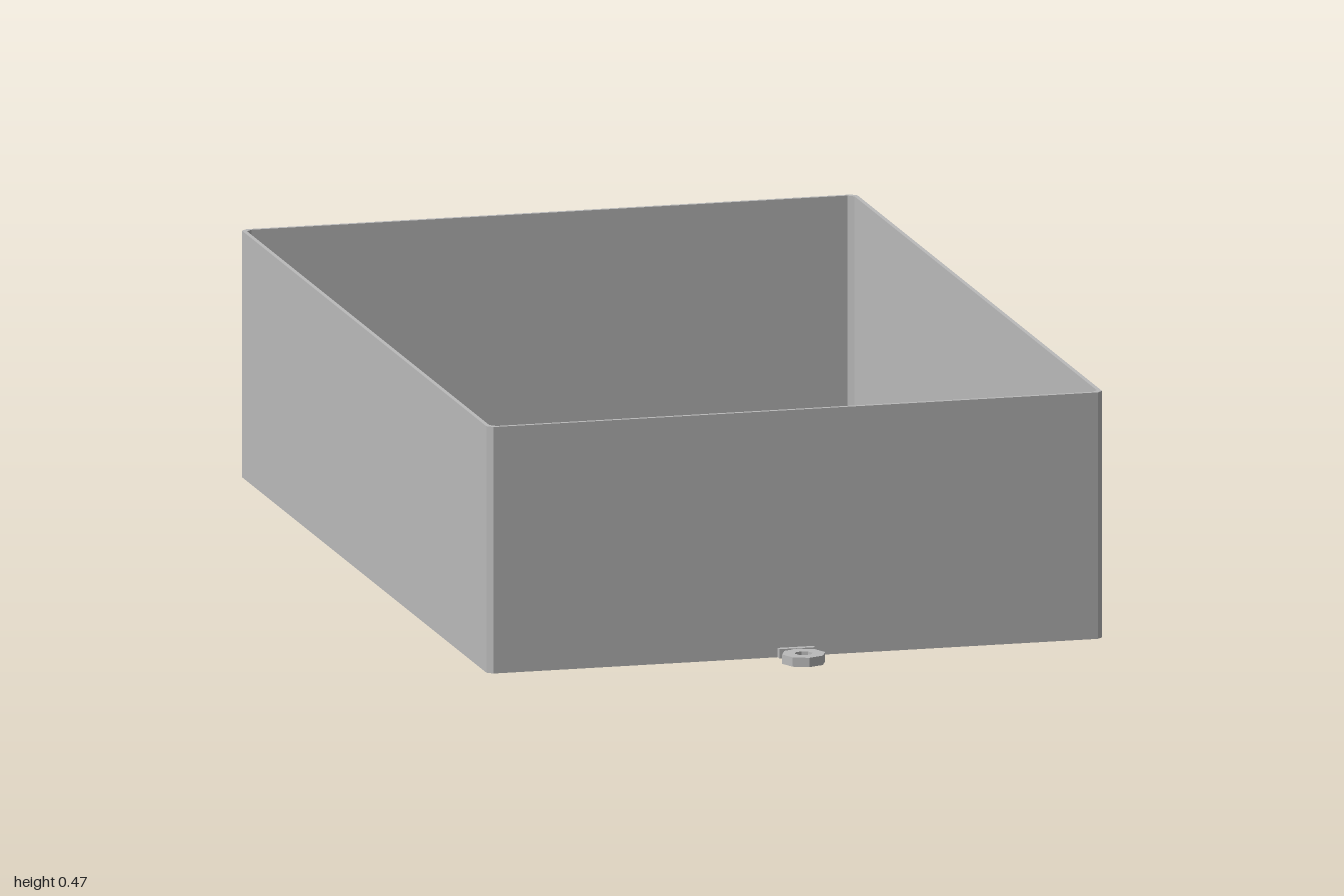
import * as THREE from 'three';

const W = 0.6, D = 0.9, H = 0.475;      // half width, half depth, height
const WALL = 0.008, FLOOR = 0.007, LUG_H = 0.018;

// Rectangle outline with chamfered corners
function chamferedRect(w, d, c, Type = THREE.Shape) {
  const s = new Type();
  s.setFromPoints([
    [w - c, -d], [w, -d + c], [w, d - c], [w - c, d],
    [-w + c, d], [-w, d - c], [-w, -d + c], [-w + c, -d], [w - c, -d],
  ].map(([x, y]) => new THREE.Vector2(x, y)));
  return s;
}

// Extrude a flat plan upwards from the given base height
function extrudeUp(shape, height, base = 0) {
  const g = new THREE.ExtrudeGeometry(shape, { depth: height, bevelEnabled: false });
  return g.rotateX(-Math.PI / 2).translate(0, base, 0);
}

export function createModel() {
  const grey = new THREE.MeshStandardMaterial({ color: 0xbababa });
  grey.name = 'grey plastic';
  const model = new THREE.Group();
  model.name = 'openBox';
  const add = (name, geometry, parent = model) => {
    const mesh = new THREE.Mesh(geometry, grey);
    mesh.name = name;
    parent.add(mesh);
    return mesh;
  };

  // Tray: floor plate and a thin ring of walls
  add('floor', extrudeUp(chamferedRect(W, D, 0.011), FLOOR));
  const ring = chamferedRect(W, D, 0.011);
  ring.holes.push(chamferedRect(W - WALL, D - WALL, 0.011, THREE.Path));
  add('walls', extrudeUp(ring, H - FLOOR, FLOOR));

  // Hexagonal locating pegs along the left side
  for (const z of [-0.82, 0.82]) {
    const peg = new THREE.CylinderGeometry(0.028, 0.028, 0.035, 6).toNonIndexed();
    peg.rotateY(Math.PI / 2);
    peg.computeVertexNormals();
    add('peg', peg).position.set(0.52, FLOOR + 0.0175, z);
  }

  // Mounting lugs at the front and back: octagonal eyelet on a small tab
  for (const side of [1, -1]) {
    const lug = new THREE.Group();
    lug.name = side > 0 ? 'frontLug' : 'backLug';
    const octagon = (r, Type) => {
      const s = new Type();
      s.setFromPoints(Array.from({ length: 9 }, (_, i) =>
        new THREE.Vector2(r * Math.cos(i * Math.PI / 4), r * Math.sin(i * Math.PI / 4))));
      return s;
    };
    const eye = octagon(0.042, THREE.Shape);
    eye.holes.push(octagon(0.017, THREE.Path));
    add('eyelet', extrudeUp(eye, LUG_H), lug).position.z = 0.958;
    add('tab', new THREE.BoxGeometry(0.07, LUG_H, 0.014), lug).position.set(0, LUG_H / 2, 0.905);
    add('neck', new THREE.BoxGeometry(0.018, LUG_H - 0.002, 0.014), lug).position.set(0, LUG_H / 2, 0.917);
    lug.rotation.y = side > 0 ? 0 : Math.PI;
    model.add(lug);
  }
  return model;
}
